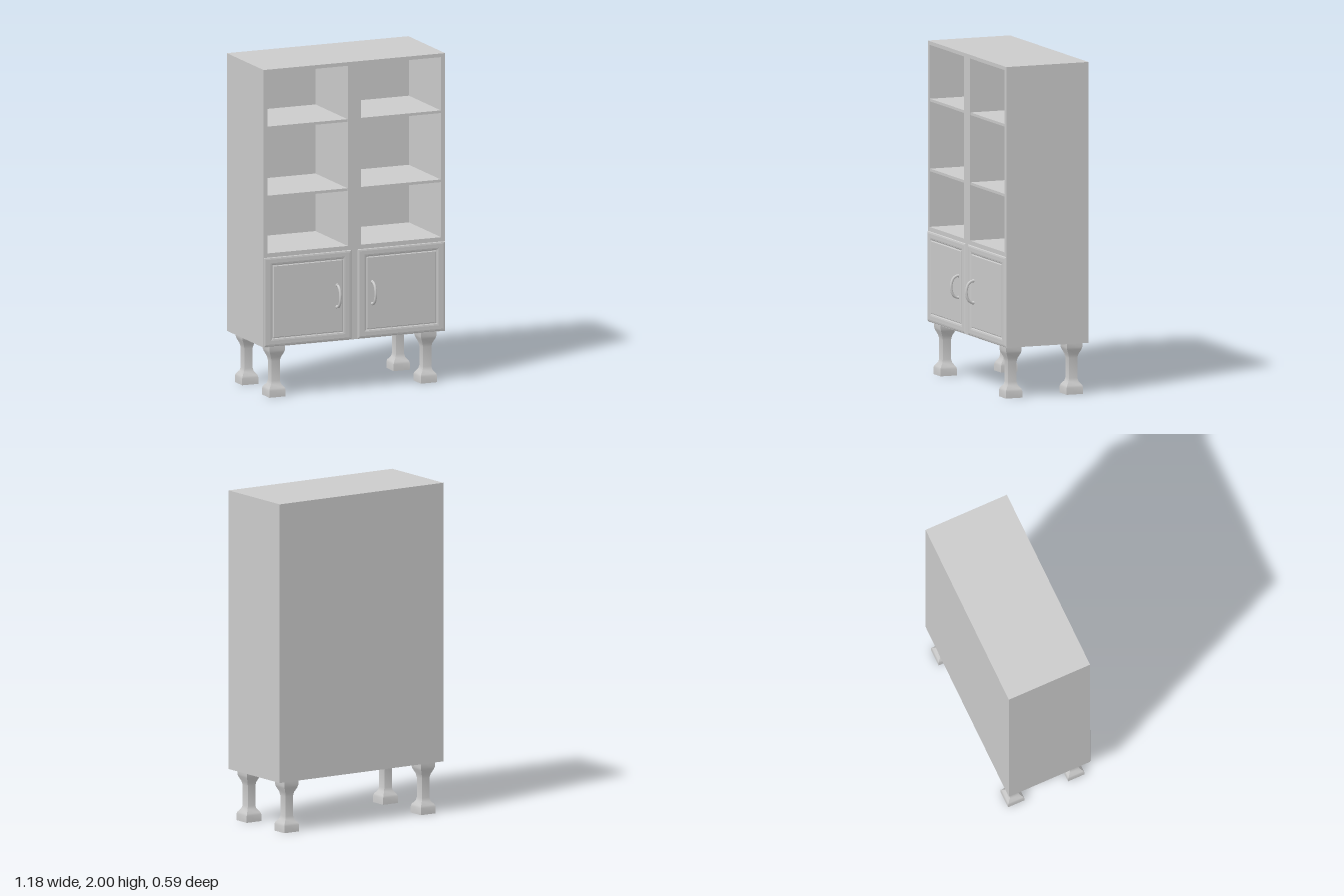
import * as THREE from 'three';
import { toCreasedNormals } from 'three/addons/utils/BufferGeometryUtils.js';

const material = new THREE.MeshStandardMaterial({ color: 0xcccccc });
const openMaterial = new THREE.MeshStandardMaterial({ color: 0xcccccc, side: THREE.DoubleSide });

const HALF_W = 0.592, BOTTOM = 0.312, TOP = 2;
const FRONT = 0.235, BACK = -0.297, INNER_BACK = -0.232;
const OPEN_IN = 0.043, OPEN_OUT = 0.566;

function add(parent, name, geometry, x = 0, y = 0, z = 0, mat = material) {
  const mesh = new THREE.Mesh(geometry, mat);
  mesh.name = name;
  mesh.position.set(x, y, z);
  parent.add(mesh);
  return mesh;
}

// Traces a rectangle onto a Shape or Path
function rect(target, x0, y0, x1, y1) {
  target.moveTo(x0, y0);
  target.lineTo(x1, y0);
  target.lineTo(x1, y1);
  target.lineTo(x0, y1);
  target.closePath();
  return target;
}

// Rectangular plate with a chamfered rim; w and h include the chamfer
function plate(w, h, depth, chamfer, rise, hole) {
  const a = w / 2 - chamfer, b = h / 2 - chamfer;
  const shape = rect(new THREE.Shape(), -a, -b, a, b);
  if (hole) shape.holes.push(rect(new THREE.Path(), -hole[0] / 2, -hole[1] / 2, hole[0] / 2, hole[1] / 2));
  return new THREE.ExtrudeGeometry(shape, {
    depth, bevelEnabled: true, bevelSize: chamfer, bevelThickness: rise, bevelSegments: 2,
  });
}

function createCarcass() {
  const carcass = new THREE.Group();
  carcass.name = 'carcass';
  const shape = rect(new THREE.Shape(), -HALF_W, BOTTOM, HALF_W, TOP);
  for (const s of [-1, 1]) {
    shape.holes.push(rect(new THREE.Path(), s * OPEN_IN, 0.883, s * OPEN_OUT, 1.978));
  }
  add(carcass, 'cabinetFrame', new THREE.ExtrudeGeometry(shape, {
    depth: FRONT - INNER_BACK, bevelEnabled: false,
  }), 0, 0, INNER_BACK);
  add(carcass, 'backPanel', new THREE.BoxGeometry(HALF_W * 2, TOP - BOTTOM, INNER_BACK - BACK),
    0, (TOP + BOTTOM) / 2, (BACK + INNER_BACK) / 2);

  // Two shelves in each bay
  for (const s of [-1, 1]) {
    for (const y of [1.225, 1.645]) {
      add(carcass, 'shelf', new THREE.BoxGeometry(OPEN_OUT - OPEN_IN, 0.016, FRONT - INNER_BACK - 0.004),
        s * (OPEN_IN + OPEN_OUT) / 2, y, (FRONT + INNER_BACK) / 2 - 0.002);
    }
  }
  return carcass;
}

function createHandle() {
  const handle = new THREE.Group();
  handle.name = 'handle';
  const curve = new THREE.CatmullRomCurve3([
    [-0.066, 0.002], [-0.062, 0.018], [-0.045, 0.037], [0, 0.048],
    [0.045, 0.037], [0.062, 0.018], [0.066, 0.002],
  ].map(([y, z]) => new THREE.Vector3(0, y, z)));
  add(handle, 'handleBar', new THREE.TubeGeometry(curve, 32, 0.008, 12));
  for (const y of [-0.066, 0.066]) {
    const foot = add(handle, 'handleFoot', new THREE.CylinderGeometry(0.009, 0.011, 0.012, 16), 0, y, 0.004);
    foot.rotation.x = Math.PI / 2;
  }
  return handle;
}

function createDoor(side) {
  const door = new THREE.Group();
  door.name = side > 0 ? 'leftDoor' : 'rightDoor';
  const w = 0.571, h = 0.542;
  add(door, 'doorFrame', plate(w, h, 0.01, 0.013, 0.006, [w - 0.084, h - 0.07]), 0, 0, -0.016);
  add(door, 'doorPanel', plate(w - 0.118, h - 0.104, 0.01, 0.004, 0.006), 0, 0, -0.016);
  door.position.set(side * 0.3055, 0.586, 0.241);

  const handle = createHandle();
  handle.position.set(side * (0.115 - 0.3055), 0, 0);
  door.add(handle);
  return door;
}

// Square leg with a flared head and foot, open underneath
function createLegGeometry() {
  const profile = [
    [0.053, 0], [0.053, 0.04], [0.049, 0.053], [0.032, 0.075], [0.027, 0.095],
    [0.027, 0.215], [0.032, 0.238], [0.046, 0.268], [0.05, 0.282], [0.05, BOTTOM],
  ].map(([r, y]) => new THREE.Vector2(r * Math.SQRT2, y));
  return toCreasedNormals(new THREE.LatheGeometry(profile, 4, Math.PI / 4), Math.PI / 3);
}

export function createModel() {
  const model = new THREE.Group();
  model.name = 'cabinet';
  model.add(createCarcass(), createDoor(1), createDoor(-1));

  const legGeometry = createLegGeometry();
  for (const x of [-0.494, 0.494]) {
    add(model, 'frontLeg', legGeometry, x, 0, 0.165, openMaterial);
    add(model, 'backLeg', legGeometry, x, 0, -0.228, openMaterial);
  }
  return model;
}
